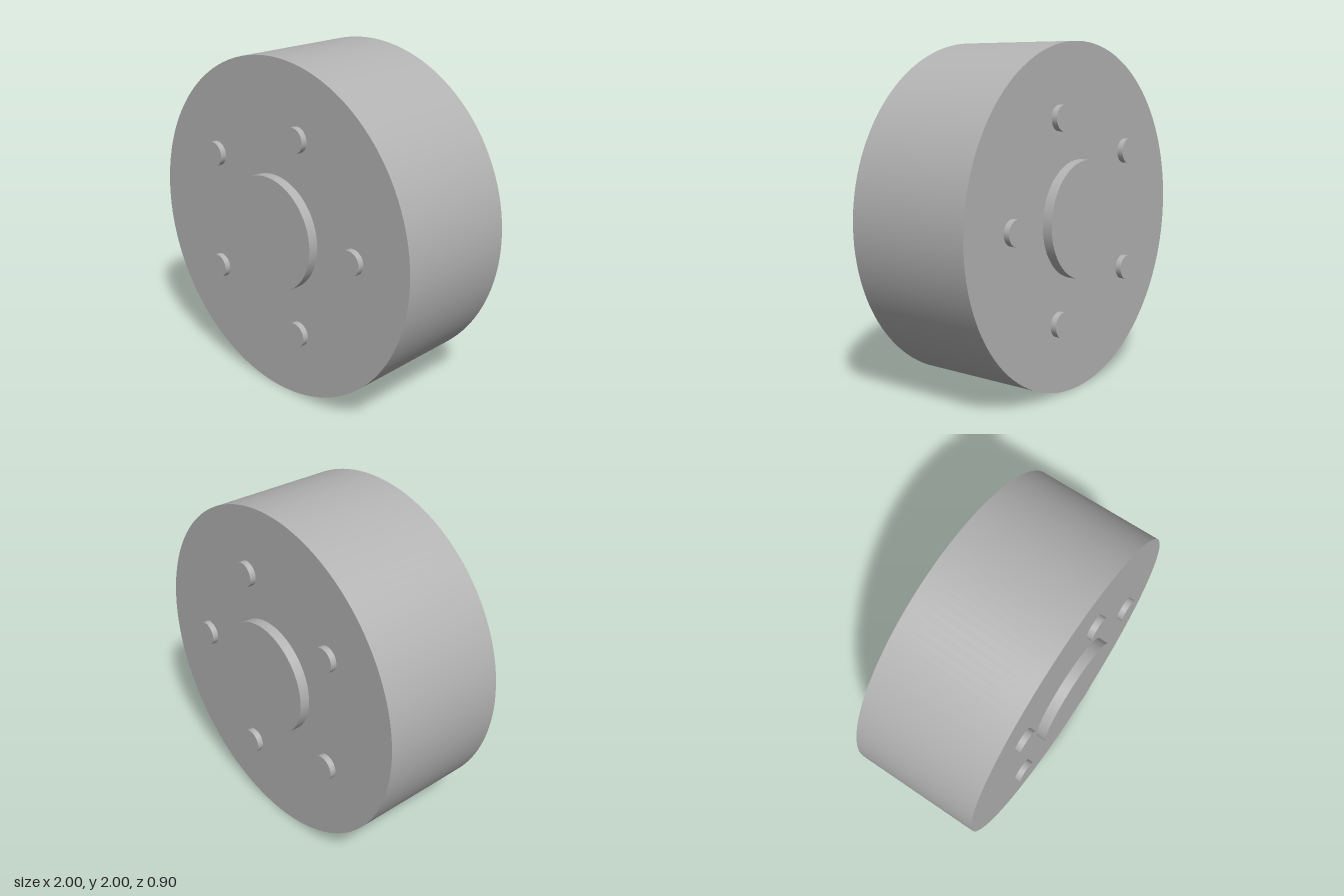
import * as THREE from 'three';

export function createModel() {
  const model = new THREE.Group();
  const grey = new THREE.MeshStandardMaterial({ color: 0xb3b3b3 });
  grey.name = 'grey';

  // Solid disc along z, centred on z
  const disc = (name, radius, depth, segments, x, y, z) => {
    const geometry = new THREE.CylinderGeometry(radius, radius, depth, segments).rotateX(Math.PI / 2);
    const mesh = new THREE.Mesh(geometry, grey);
    mesh.name = name;
    mesh.position.set(x, y, z);
    model.add(mesh);
  };

  const halfWidth = 0.39, hubRise = 0.06, lugRise = 0.036, lugCircle = 0.61;

  // Wide wheel body
  disc('wheelBody', 1, halfWidth * 2, 128, 0, 1, 0);

  for (const side of [1, -1]) {
    const label = side > 0 ? 'front' : 'back';
    // Raised central hub cap
    disc(label + 'Hub', 0.34, hubRise, 64, 0, 1, side * (halfWidth + hubRise / 2));
    // Ring of five lug studs
    for (let i = 0; i < 5; i++) {
      const a = (i * Math.PI * 2) / 5;
      disc(label + 'Lug' + (i + 1), 0.073, lugRise, 32,
        lugCircle * Math.cos(a), 1 + lugCircle * Math.sin(a), side * (halfWidth + lugRise / 2));
    }
  }
  return model;
}
